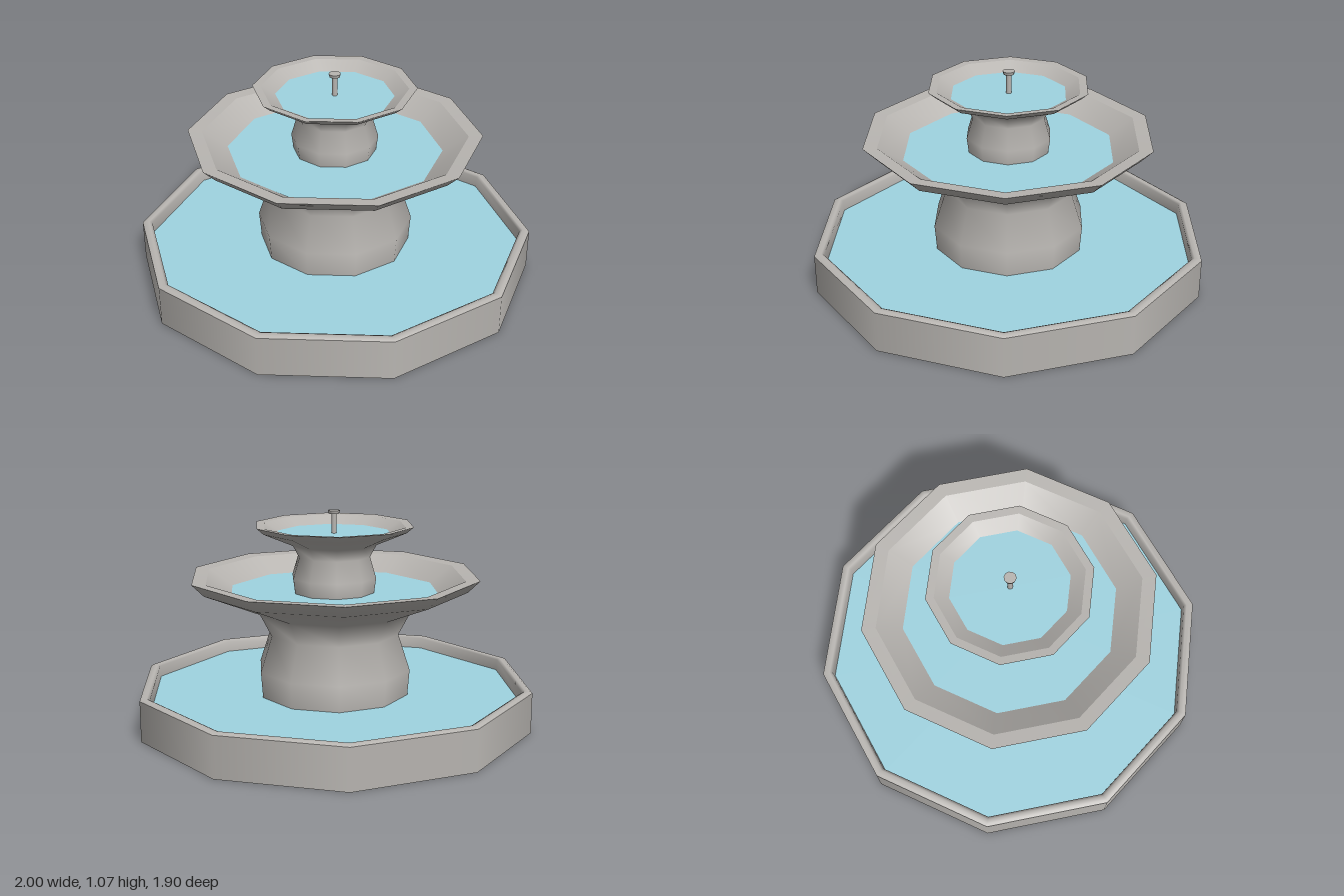
import * as THREE from 'three';

const SIDES = 10;
const stone = new THREE.MeshStandardMaterial({ color: 0xb8b5b1, side: THREE.DoubleSide });
stone.name = 'stone';
const water = new THREE.MeshStandardMaterial({ color: 0x9fd3e0, side: THREE.DoubleSide });
water.name = 'water';

export function createModel() {
  const fountain = new THREE.Group();
  fountain.name = 'fountain';

  const add = (name, geometry, material, y = 0) => {
    const mesh = new THREE.Mesh(geometry, material);
    mesh.name = name;
    mesh.position.y = y;
    fountain.add(mesh);
  };

  // Ten-sided turned surface with a corner on the x axis; profile is [radius, height]
  const turned = (name, profile) => {
    const points = profile.map(([r, y]) => new THREE.Vector2(r, y));
    add(name, new THREE.LatheGeometry(points, SIDES, Math.PI / 2), stone);
  };

  // Flat ten-sided water surface
  const pool = (name, radius, y) =>
    add(name, new THREE.CircleGeometry(radius, SIDES).rotateX(-Math.PI / 2), water, y);

  // Ground basin: straight wall with a softly rounded rim
  turned('basinWall', [[1, 0], [1, 0.205]]);
  turned('basinRim', [[1, 0.205], [0.985, 0.213], [0.965, 0.213], [0.95, 0.205], [0.945, 0.15]]);
  pool('basinWater', 0.945, 0.15);

  // Middle tier: waisted pedestal flaring into a wide bowl
  turned('middlePedestalAndBowl', [[0.38, 0.15], [0.39, 0.28], [0.33, 0.46], [0.39, 0.575], [0.67, 0.69], [0.73, 0.75]]);
  turned('middleRim', [[0.73, 0.75], [0.66, 0.745]]);
  turned('middleBowlInside', [[0.66, 0.745], [0.535, 0.665]]);
  pool('middleWater', 0.535, 0.665);

  // Top tier: smaller copy of the same form
  turned('topPedestalAndBowl', [[0.205, 0.665], [0.215, 0.74], [0.183, 0.845], [0.215, 0.905], [0.365, 0.97], [0.4, 1]]);
  turned('topRim', [[0.4, 1], [0.36, 0.997]]);
  turned('topBowlInside', [[0.36, 0.997], [0.29, 0.957]]);
  pool('topWater', 0.29, 0.957);

  // Spout
  add('spoutStem', new THREE.CylinderGeometry(0.013, 0.013, 0.1, 10), stone, 1.007);
  add('spoutCap', new THREE.CylinderGeometry(0.03, 0.026, 0.016, 10), stone, 1.062);

  return fountain;
}
